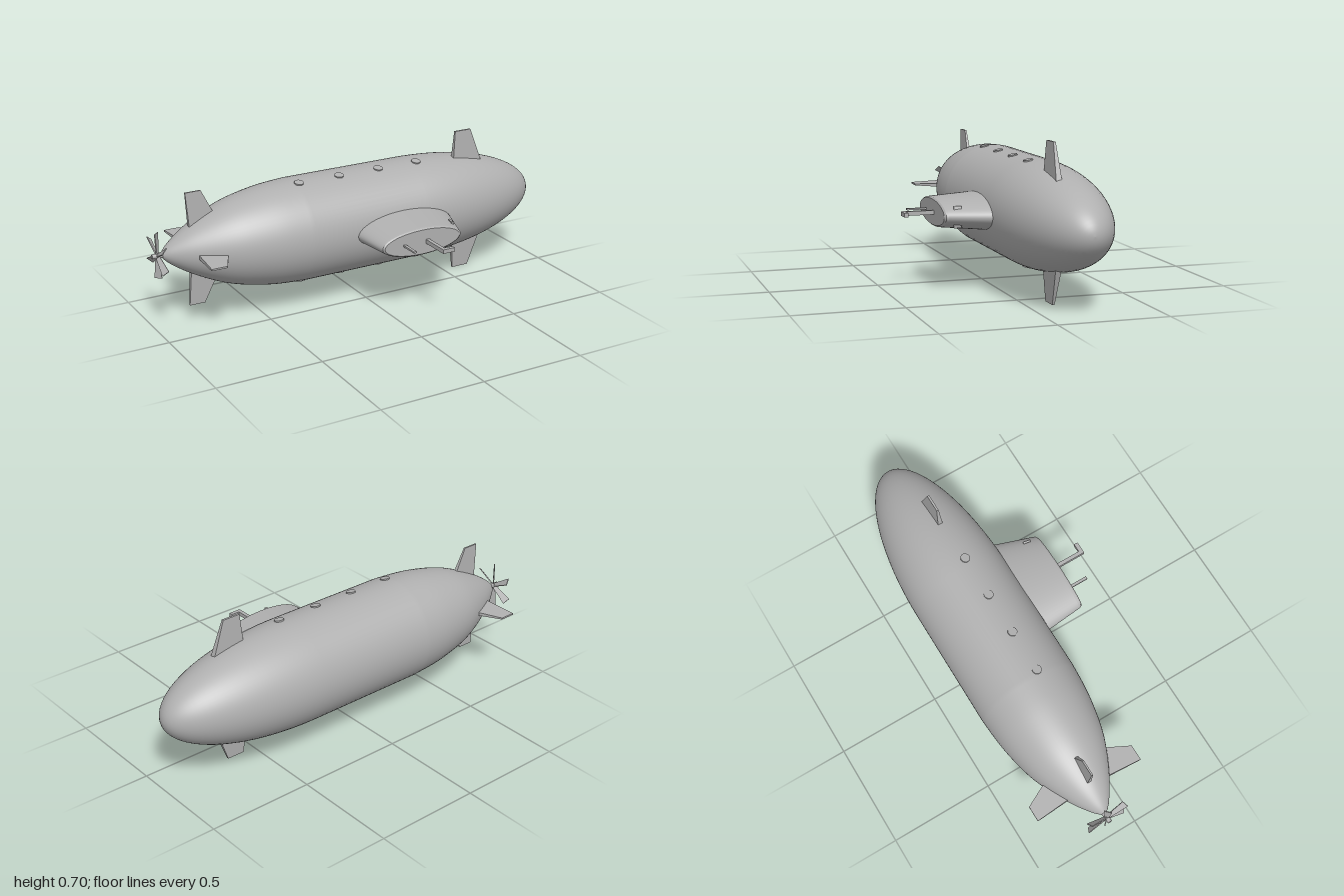
import * as THREE from 'three';

const AXIS_Y = 0.353, AXIS_Z = -0.159, RADIUS = 0.244;

export function createModel() {
  const model = new THREE.Group();
  const paint = new THREE.MeshStandardMaterial({ color: 0xb0b0b0 });
  paint.name = 'hull grey';

  const add = (parent, name, geometry) => {
    const mesh = new THREE.Mesh(geometry, paint);
    mesh.name = name;
    parent.add(mesh);
    return mesh;
  };

  // Everything on the hull axis lives in this group
  const body = new THREE.Group();
  body.name = 'body';
  body.position.set(0, AXIS_Y, AXIS_Z);
  model.add(body);

  // Hull: pointed tail, straight middle, elliptical nose
  const tail = [[0, -0.957], [0.015, -0.95], [0.05, -0.913], [0.105, -0.83],
    [0.165, -0.71], [0.203, -0.6], [0.232, -0.45], [RADIUS, -0.3]];
  const tailCurve = new THREE.SplineCurve(tail.map(p => new THREE.Vector2(...p)));
  const profile = tailCurve.getPoints(36).map(p => new THREE.Vector2(Math.max(p.x, 0), p.y));
  for (let i = 0; i <= 24; i++) {
    const a = (i / 24) * Math.PI / 2;
    profile.push(new THREE.Vector2(i === 24 ? 0 : RADIUS * Math.cos(a), 0.3 + 0.7 * Math.sin(a)));
  }
  add(body, 'hull', new THREE.LatheGeometry(profile, 64).rotateZ(-Math.PI / 2));

  // Tapered fin along +y; root and tip are [height, back x, front x, thickness]
  const fin = (root, tip) => {
    const g = new THREE.BoxGeometry(1, 1, 1);
    const p = g.attributes.position;
    for (let i = 0; i < p.count; i++) {
      const [y, back, front, thick] = p.getY(i) > 0 ? tip : root;
      p.setXYZ(i, p.getX(i) > 0 ? front : back, y, p.getZ(i) * thick);
    }
    g.computeVertexNormals();
    return g;
  };

  // Four stern fins in a cross
  for (let k = 0; k < 4; k++) {
    const f = add(body, 'sternFin', fin([0.05, -0.815, -0.645, 0.026], [0.271, -0.83, -0.755, 0.008]));
    f.rotation.x = k * Math.PI / 2;
  }

  // Pair of bow planes, set slightly towards the sail
  for (const side of [1, -1]) {
    const f = add(body, 'bowPlane', fin([0.15, 0.54, 0.717, 0.031], [0.352, 0.557, 0.643, 0.01]));
    f.position.z = 0.043;
    if (side < 0) f.rotation.x = Math.PI;
  }

  // Rows of round hatches on both flanks
  for (const side of [1, -1]) {
    for (const x of [-0.29, -0.082, 0.126, 0.334]) {
      const hatch = add(body, 'hatch', new THREE.CylinderGeometry(0.022, 0.022, 0.02, 20));
      const angle = 0.21;
      hatch.position.set(x, side * Math.cos(angle) * 0.239, Math.sin(angle) * 0.239);
      hatch.rotation.x = side * (Math.PI / 2 - Math.PI / 2 + angle);
    }
  }

  // Propeller: hub and six pitched blades
  const propeller = new THREE.Group();
  propeller.name = 'propeller';
  propeller.position.x = -0.973;
  body.add(propeller);
  add(propeller, 'hub', new THREE.CylinderGeometry(0.014, 0.01, 0.052, 16).rotateZ(-Math.PI / 2));
  for (let k = 0; k < 6; k++) {
    const g = fin([0.005, -0.009, 0.009, 0.006], [0.107, -0.018, 0.018, 0.004]);
    add(propeller, 'blade', g.rotateY(Math.PI / 4).rotateX(k * Math.PI / 3));
  }

  // Sail: elliptical sections [z, centre x, half length, half width]
  const sail = new THREE.Group();
  sail.name = 'sail';
  sail.position.y = AXIS_Y;
  model.add(sail);
  const sections = [[0, 0.172, 0.267, 0.087], [0.262, 0.14, 0.21, 0.0655],
    [0.273, 0.139, 0.207, 0.064], [0.28, 0.1375, 0.198, 0.058]];
  for (let s = 0; s < 3; s++) {
    const g = new THREE.CylinderGeometry(1, 1, 1, 64, 1, true).rotateX(Math.PI / 2);
    const p = g.attributes.position;
    for (let i = 0; i < p.count; i++) {
      const [z, c, a, b] = sections[p.getZ(i) > 0 ? s + 1 : s];
      p.setXYZ(i, c + a * p.getX(i), b * p.getY(i), z);
    }
    g.computeVertexNormals();
    add(sail, s ? 'sailRim' : 'sailWall', g);
  }
  const roof = add(sail, 'sailRoof', new THREE.CircleGeometry(1, 64).scale(0.198, 0.058, 1));
  roof.position.set(0.1375, 0, 0.28);

  // Bridge windows on the leading edge of the sail
  for (const side of [1, -1]) {
    const w = add(sail, 'bridgeWindow', new THREE.BoxGeometry(0.009, 0.02, 0.035));
    w.position.set(0.329, side * 0.039, 0.217);
    w.rotation.set(0, -0.17, side * 0.24);
  }

  // Antenna and periscope
  const block = (name, w, h, d, x, z) =>
    add(sail, name, new THREE.BoxGeometry(w, h, d)).position.set(x, 0, z);
  block('antenna', 0.014, 0.008, 0.11, 0.042, 0.317);
  block('periscopeMast', 0.018, 0.019, 0.15, 0.163, 0.345);
  block('periscopeHead', 0.06, 0.019, 0.019, 0.184, 0.419);

  return model;
}
